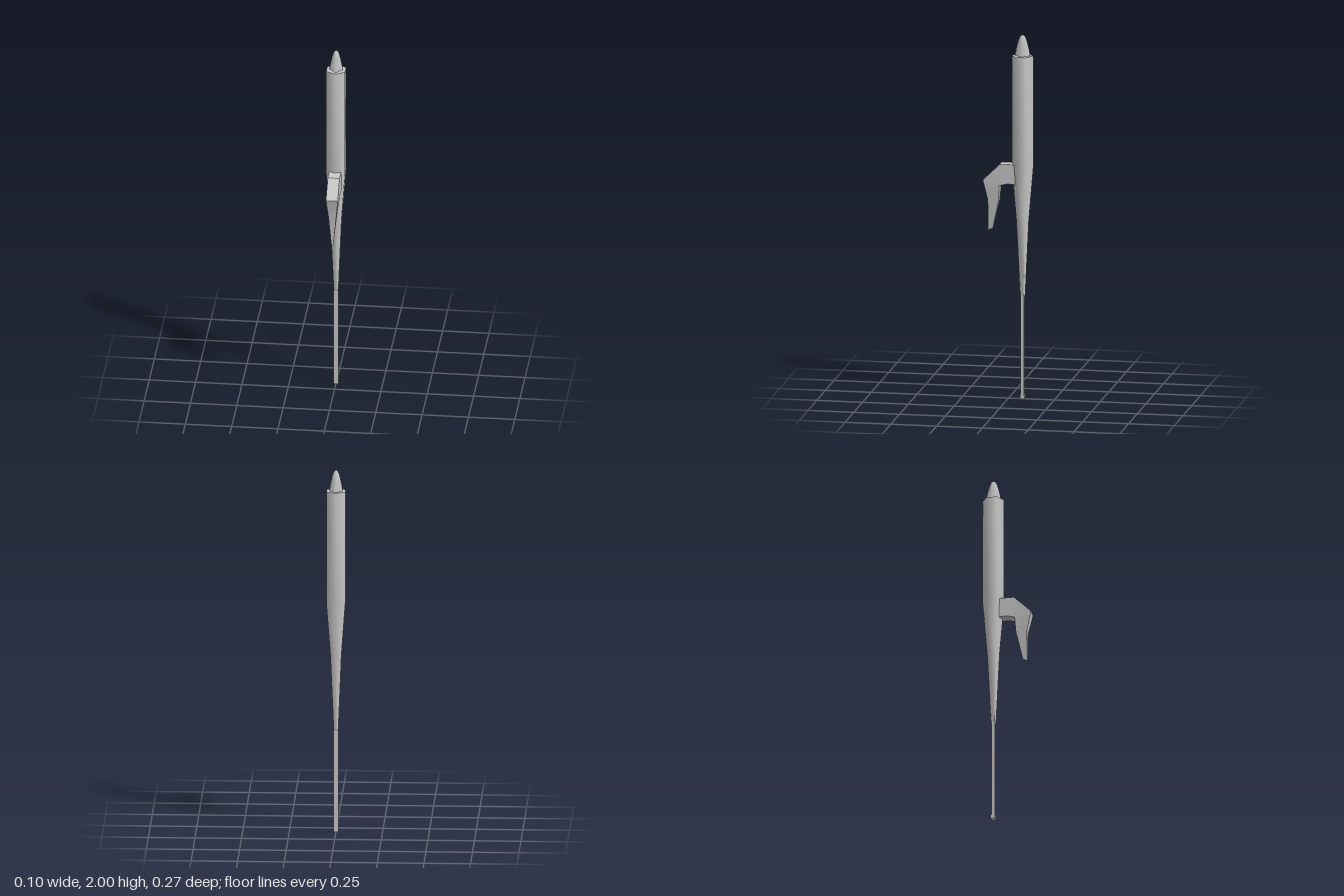
import * as THREE from 'three';
import { toCreasedNormals } from 'three/addons/utils/BufferGeometryUtils.js';

const AXIS_Z = -0.0765;

export function createModel() {
  const group = new THREE.Group();
  const material = new THREE.MeshStandardMaterial({ color: 0xcccccc });
  const add = (name, geometry, x = 0, y = 0, z = 0) => {
    const mesh = new THREE.Mesh(geometry, material);
    mesh.name = name;
    mesh.position.set(x, y, z);
    group.add(mesh);
    return mesh;
  };
  const lathe = (profile, sides) =>
    new THREE.LatheGeometry(profile.map(([r, y]) => new THREE.Vector2(r, y)), sides);

  // Six-sided barrel, tapering in two steps towards the shaft
  const barrel = lathe([[0, 0.56], [0.014, 0.56], [0.034, 0.98], [0.0585, 1.27], [0.0585, 1.885], [0, 1.885]], 6);
  add('barrel', toCreasedNormals(barrel, 1.1), 0, 0, AXIS_Z);

  // Four-sided rounded push button
  const button = lathe([[0.043, 1.88], [0.037, 1.915], [0.026, 1.96], [0.019, 1.982], [0.01, 1.996], [0, 2]], 4);
  button.scale(0.86, 1, 1);
  add('pushButton', button, 0, 0, AXIS_Z);

  // Thin flat shaft with a small foot
  add('shaft', new THREE.BoxGeometry(0.026, 0.56, 0.018), 0, 0.29, AXIS_Z);
  add('shaftTip', new THREE.BoxGeometry(0.028, 0.022, 0.024), 0, 0.011, AXIS_Z);

  // Finger hook, each section: outer z, y, inner z, y, half width
  const sections = [
    [-0.04, 1.29, -0.04, 1.18, 0.032],
    [0.042, 1.29, 0.0, 1.183, 0.032],
    [0.135, 1.2, 0.045, 1.172, 0.032],
    [0.11, 1.09, 0.05, 1.09, 0.021],
    [0.11, 0.92, 0.085, 0.932, 0.005],
  ];
  const points = [];
  const index = [];
  sections.forEach(([oz, oy, iz, iy, w], s) => {
    points.push(-w, oy, oz, w, oy, oz, w, iy, iz, -w, iy, iz);
    if (s === 0) return;
    for (let k = 0; k < 4; k++) {
      const a = (s - 1) * 4 + k, b = (s - 1) * 4 + (k + 1) % 4;
      index.push(a, a + 4, b, b, a + 4, b + 4);
    }
  });
  const end = (sections.length - 1) * 4;
  index.push(0, 1, 2, 0, 2, 3, end, end + 2, end + 1, end, end + 3, end + 2);
  const hook = new THREE.BufferGeometry();
  hook.setAttribute('position', new THREE.Float32BufferAttribute(points, 3));
  hook.setIndex(index);
  add('fingerHook', toCreasedNormals(hook, 0.7));

  return group;
}
